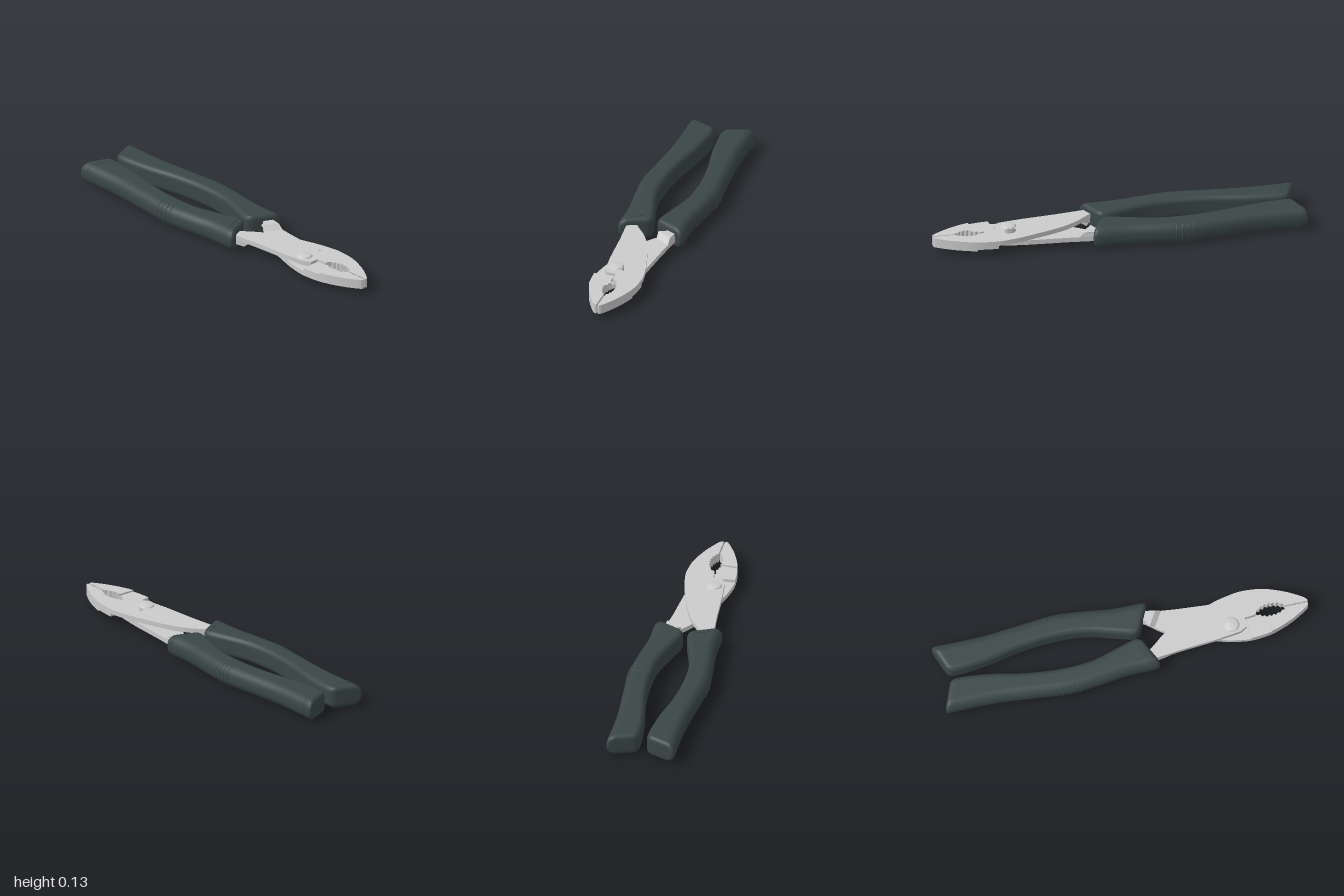
import * as THREE from 'three';
import { toCreasedNormals } from 'three/addons/utils/BufferGeometryUtils.js';

const T = 0.026; // thickness of one plate (half of the jaw height)
const MID = 0.06; // height of the plane where the two halves meet
const GRIP_H = 0.12;

const steel = new THREE.MeshStandardMaterial({ color: 0xcccccc });
const rubber = new THREE.MeshStandardMaterial({ color: 0x3a4646 });

const vec2s = (list) => list.map(([x, y]) => new THREE.Vector2(x, y));

function addMesh(parent, name, geometry, material) {
  const mesh = new THREE.Mesh(geometry, material);
  mesh.name = name;
  parent.add(mesh);
  return mesh;
}

// Flat slab lying in the ground plane; outline is (x, -z)
function slab(points, y0, y1, hole) {
  const shape = new THREE.Shape(points);
  if (hole) shape.holes.push(hole);
  const geo = new THREE.ExtrudeGeometry(shape, { depth: y1 - y0, bevelEnabled: false, curveSegments: 24 });
  geo.rotateX(-Math.PI / 2).translate(0, y0, 0);
  return toCreasedNormals(geo, 0.45);
}

// Outer edge of shank and jaw, from the grip to the tip
const outerEdge = new THREE.SplineCurve(vec2s([
  [0.05, -0.13], [0.14, -0.075], [0.22, -0.012], [0.32, 0.041], [0.5, 0.1], [0.59, 0.122], [0.67, 0.132],
  [0.78, 0.121], [0.885, 0.084], [0.96, 0.044], [0.992, 0.022], [1, 0.01],
])).getPoints(88);

// Biting edge from the tip back: fine teeth, then the coarse pipe grip
function bitingEdge() {
  const pts = [];
  const fine = 12, coarse = 7;
  for (let i = 0; i <= fine * 2; i++) {
    pts.push(new THREE.Vector2(0.998 - (0.118 * i) / (fine * 2), i % 2 ? 0.007 : 0.002));
  }
  for (let i = 1; i < coarse * 2; i++) {
    const t = i / (coarse * 2);
    const depth = 0.034 * Math.pow(Math.sin(Math.PI * Math.pow(t, 0.9)), 0.7);
    pts.push(new THREE.Vector2(0.88 - 0.165 * t, 0.004 + depth - (i % 2 ? 0 : 0.009)));
  }
  return pts;
}
const teeth = bitingEdge();
const beyond = (pts, x) => pts.filter((p) => p.x >= x);

// Half of the steel body, its meeting plane at y = 0
function buildSteel(half, withSlot) {
  const plateOutline = [
    ...outerEdge, ...teeth,
    ...vec2s([[0.715, -0.012], [0.655, -0.018], [0.655, -0.066], [0.62, -0.087],
      [0.5, -0.103], [0.3, -0.119], [0.16, -0.135], [0.05, -0.15]]),
  ];
  const slot = withSlot ? new THREE.Path().absarc(0.58, 0.028, 0.036, 0, Math.PI * 2, true) : null;
  addMesh(half, 'plate', slab(plateOutline, 0, T, slot), steel);

  // Jaw thickens in two steps towards the tip
  const heel = [...beyond(outerEdge, 0.665), ...beyond(teeth, 0.715), ...vec2s([[0.715, 0.022], [0.665, 0.022]])];
  addMesh(half, 'jawHeel', slab(heel, -T * 0.65, 0), steel);
  const jaw = [...beyond(outerEdge, 0.78), ...beyond(teeth, 0.78)];
  addMesh(half, 'jaw', slab(jaw, -T, 0), steel);

  // Full-height shank with a ramp where it leaves the grip
  const shank = slab(vec2s([[0.05, -0.15], [0.235, -0.126], [0.185, -0.045], [0.14, -0.08], [0.05, -0.12]]), -T, 0);
  const pos = shank.attributes.position;
  for (let i = 0; i < pos.count; i++) {
    if (pos.getY(i) < -T / 2 && pos.getX(i) > 0.16) pos.setX(i, pos.getX(i) - 0.03);
  }
  shank.computeVertexNormals();
  addMesh(half, 'shank', shank, steel);
}

// Grip edges seen from above as (x, z)
const gripCurve = (list) => new THREE.CatmullRomCurve3(list.map(([x, z]) => new THREE.Vector3(x, 0, z)));
const gripInner = gripCurve([[-0.935, 0.022], [-0.88, 0.019], [-0.72, 0.036], [-0.53, 0.073], [-0.345, 0.089],
  [-0.185, 0.08], [-0.025, 0.036], [0.06, 0.012], [0.094, 0.014]]);
const gripOuter = gripCurve([[-1, 0.186], [-0.9, 0.184], [-0.72, 0.186], [-0.53, 0.202], [-0.32, 0.219],
  [-0.17, 0.207], [0, 0.186], [0.14, 0.184], [0.174, 0.18]]);
const ARC = 7; // points per rounded corner

// One rounded cross-section of the grip; the first 2 * ARC points are its outer side
function gripSection(u) {
  const a = gripInner.getPointAt(u), b = gripOuter.getPointAt(u);
  const width = a.distanceTo(b);
  const r = 0.025, e = Math.min(r, u * 1.1, (1 - u) * 1.1);
  const inset = r - Math.sqrt(r * r - (r - e) * (r - e));
  const h = GRIP_H / 2 - inset;
  const ring = [];
  for (let c = 0; c < 4; c++) {
    const outer = c < 2, up = c === 1 || c === 2;
    const rad = Math.max((outer ? 0.052 : 0.03) - inset, 0.006);
    for (let k = 0; k < ARC; k++) {
      const ang = ((c - 1 + k / (ARC - 1)) * Math.PI) / 2;
      const s = (outer ? width - inset - rad : inset + rad) + rad * Math.cos(ang);
      const p = a.clone().lerp(b, s / width);
      p.y = (up ? h - rad : rad - h) + rad * Math.sin(ang);
      ring.push(p);
    }
  }
  return ring;
}

function gripGeometry() {
  const us = [];
  const ends = [0, 0.001, 0.004, 0.008, 0.014];
  us.push(...ends);
  for (let i = 1; i < 48; i++) us.push(0.023 + (0.954 * (i - 1)) / 46);
  us.push(...ends.map((e) => 1 - e).reverse());
  const rings = us.map(gripSection);
  const n = rings[0].length;
  const pts = rings.flat();
  const index = [];
  for (let i = 0; i < rings.length - 1; i++) {
    for (let j = 0; j < n; j++) {
      const p = i * n + j, q = i * n + ((j + 1) % n);
      index.push(p, p + n, q + n, p, q + n, q);
    }
  }
  // End caps
  for (const [i, front] of [[0, false], [rings.length - 1, true]]) {
    const centre = pts.length;
    pts.push(rings[i].reduce((s, p) => s.add(p), new THREE.Vector3()).divideScalar(n));
    for (let j = 0; j < n; j++) {
      const p = i * n + j, q = i * n + ((j + 1) % n);
      index.push(centre, ...(front ? [q, p] : [p, q]));
    }
  }
  const geo = new THREE.BufferGeometry().setFromPoints(pts);
  geo.setIndex(index);
  geo.computeVertexNormals();
  return geo;
}

const bead = (points, radius) =>
  new THREE.TubeGeometry(new THREE.CatmullRomCurve3(points), 40, radius, 6, false);

function buildGrip(half) {
  addMesh(half, 'grip', gripGeometry(), rubber);
  // Ribs over the outer side
  for (let i = 0; i < 4; i++) {
    addMesh(half, 'gripRib', bead(gripSection(0.54 + 0.026 * i).slice(1, 2 * ARC - 1), 0.003), rubber);
  }
  // Collar lines near both ends
  for (const u of [0.05, 0.96]) {
    addMesh(half, 'gripCollar', bead(gripSection(u).slice(0, 2 * ARC + 3), 0.0018), rubber);
  }
  // Panel seam on the top and bottom faces
  const seam = [[-0.9, 0.11], [-0.72, 0.105], [-0.53, 0.134], [-0.41, 0.144], [-0.33, 0.122], [-0.17, 0.11], [0, 0.07], [0.08, 0.05]];
  for (const y of [-1, 1]) {
    const path = seam.map(([x, z]) => new THREE.Vector3(x, y * (GRIP_H / 2 - 0.002), z));
    addMesh(half, 'gripSeam', bead(path, 0.0025), rubber);
  }
}

export function createModel() {
  const model = new THREE.Group();
  model.name = 'pliers';

  // The second half is the first turned over about the long axis
  for (const [name, turn] of [['upperHalf', 0], ['lowerHalf', Math.PI]]) {
    const half = new THREE.Group();
    half.name = name;
    buildSteel(half, turn === 0);
    buildGrip(half);
    half.rotation.x = turn;
    half.position.y = MID;
    model.add(half);
  }

  // Rivet with a domed head on both sides
  const profile = vec2s([[0, -0.038], [0.022, -0.037], [0.036, -0.033], [0.041, -0.026],
    [0.041, 0.026], [0.036, 0.033], [0.022, 0.037], [0, 0.038]]);
  const rivet = addMesh(model, 'rivet', toCreasedNormals(new THREE.LatheGeometry(profile, 32), 0.6), steel);
  rivet.position.set(0.58, MID, 0.04);
  return model;
}
